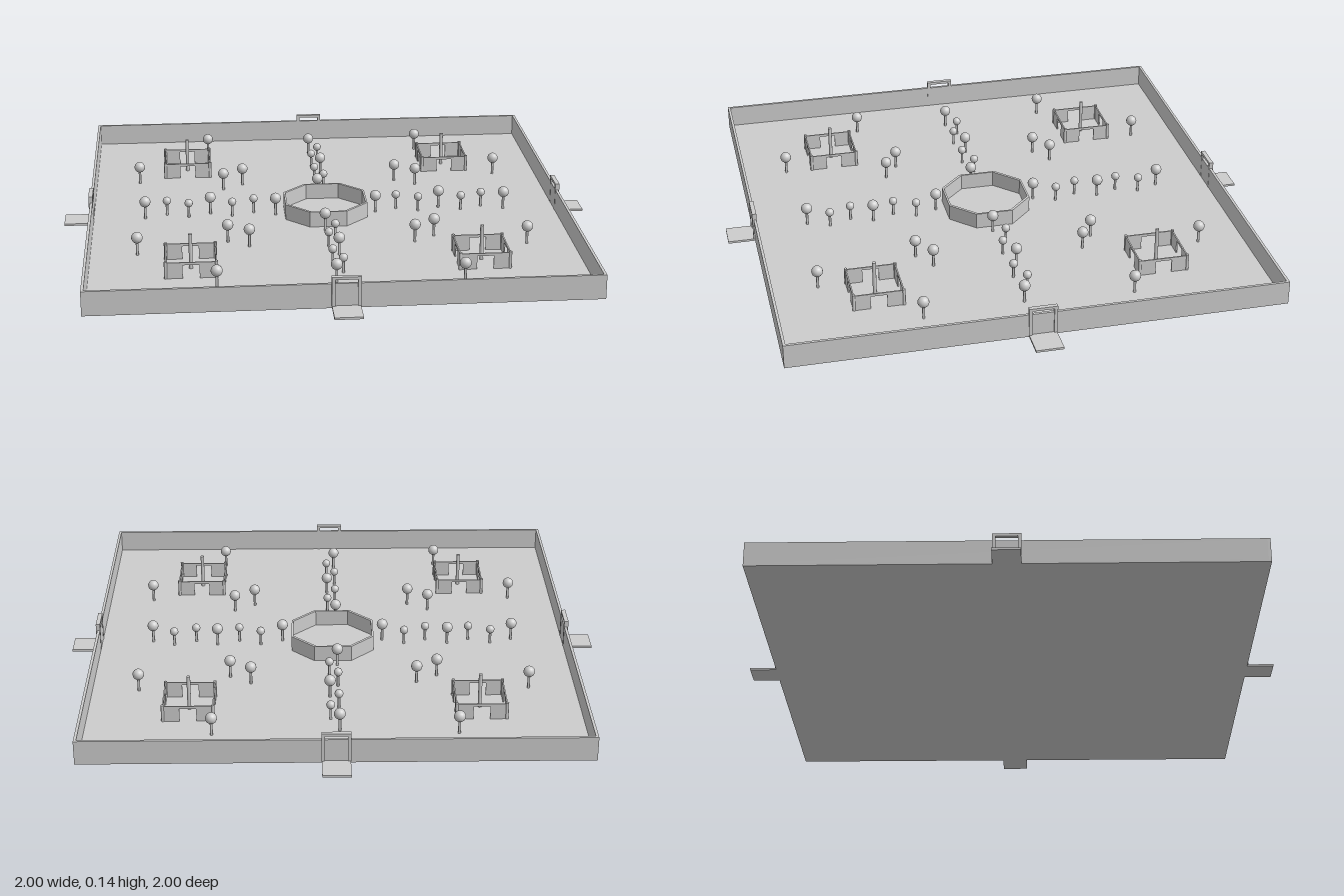
import * as THREE from 'three';

export function createModel() {
  const model = new THREE.Group();
  model.name = 'walledGarden';
  const stone = new THREE.MeshStandardMaterial({ color: 0xcccccc });
  stone.name = 'paleStone';

  const FLOOR = 0.008;
  const add = (parent, name, geometry, x = 0, y = 0, z = 0) => {
    const mesh = new THREE.Mesh(geometry, stone);
    mesh.name = name;
    mesh.position.set(x, y, z);
    parent.add(mesh);
    return mesh;
  };
  // Box standing on height y
  const box = (parent, name, w, h, d, x, y, z) =>
    add(parent, name, new THREE.BoxGeometry(w, h, d), x, y + h / 2, z);
  const group = (parent, name, x = 0, z = 0, turn = 0) => {
    const g = new THREE.Group();
    g.name = name;
    g.position.set(x, 0, z);
    g.rotation.y = turn;
    parent.add(g);
    return g;
  };

  box(model, 'floor', 1.8, FLOOR, 1.8, 0, 0, 0);

  // Four sides: outer wall, gate frame and entrance path
  for (let i = 0; i < 4; i++) {
    const side = group(model, 'side', 0, 0, i * Math.PI / 2);
    box(side, 'outerWall', 1.79, 0.09 - FLOOR, 0.01, -0.005, FLOOR, 0.895);
    box(side, 'entrancePath', 0.1, FLOOR, 0.1, 0, 0, 0.95);
    for (const s of [-1, 1]) {
      box(side, 'gatePost', 0.012, 0.115 - FLOOR, 0.016, s * 0.045, FLOOR, 0.897);
    }
    box(side, 'gateLintel', 0.102, 0.01, 0.016, 0, 0.105, 0.897);
  }

  // Octagonal ring wall in the middle
  const octagon = (r) => {
    const c = r - 0.087;
    return [[r, c], [c, r], [-c, r], [-r, c], [-r, -c], [-c, -r], [c, -r], [r, -c]]
      .map(([x, y]) => new THREE.Vector2(x, y));
  };
  const ringShape = new THREE.Shape(octagon(0.157));
  ringShape.holes.push(new THREE.Path(octagon(0.15)));
  const ringGeometry = new THREE.ExtrudeGeometry(ringShape, { depth: 0.06, bevelEnabled: false });
  ringGeometry.rotateX(-Math.PI / 2);
  add(model, 'centralRing', ringGeometry, 0, FLOOR, 0);

  // Four open pavilions with doorways, corner posts and a central pole
  const H = 0.06;
  const half = 0.09;
  const postGeometry = new THREE.CylinderGeometry(0.006, 0.006, H + 0.004, 8);
  const poleGeometry = new THREE.CylinderGeometry(0.007, 0.007, 0.14 - FLOOR, 10);
  for (const sx of [-1, 1]) {
    for (const sz of [-1, 1]) {
      const pavilion = group(model, 'pavilion', sx * 0.525, sz * 0.525);
      for (let i = 0; i < 4; i++) {
        const face = group(pavilion, 'pavilionSide', 0, 0, i * Math.PI / 2);
        for (const s of [-1, 1]) {
          box(face, 'pavilionWall', 0.06, H, 0.005, s * 0.06, FLOOR, half);
        }
        box(face, 'pavilionLintel', 0.06, 0.01, 0.005, 0, FLOOR + H - 0.01, half);
        add(face, 'cornerPost', postGeometry, half, FLOOR + (H + 0.004) / 2, half);
      }
      add(pavilion, 'centralPole', poleGeometry, 0, (0.14 + FLOOR) / 2, 0);
    }
  }

  // Round-topped trees
  const sizes = {
    large: { r: 0.021, top: 0.097 },
    small: { r: 0.016, top: 0.082 },
  };
  for (const s of Object.values(sizes)) {
    const h = s.top - s.r - FLOOR;
    s.crown = new THREE.SphereGeometry(s.r, 16, 12);
    s.trunk = new THREE.CylinderGeometry(0.005, 0.005, h, 8);
    s.trunkY = FLOOR + h / 2;
  }
  const tree = (x, z, s) => {
    const g = group(model, 'tree', x, z);
    add(g, 'trunk', s.trunk, 0, s.trunkY, 0);
    add(g, 'crown', s.crown, 0, s.top - s.r, 0);
  };

  // Staggered avenues along both axes
  for (let i = 0; i < 7; i++) {
    const along = 0.193 + i * 0.0833;
    const offset = i % 2 ? -0.0155 : 0.0155;
    const size = i % 3 === 0 ? sizes.large : sizes.small;
    for (const s of [-1, 1]) {
      tree(s * along, offset, size);
      tree(-offset, s * along, size);
    }
  }

  // Trees scattered around the pavilions
  for (const [x, z] of [[0.437, 0.718], [0.718, 0.385], [0.307, 0.335], [0.385, 0.283]]) {
    for (const sx of [-1, 1]) {
      for (const sz of [-1, 1]) tree(sx * x, sz * z, sizes.large);
    }
  }

  return model;
}
